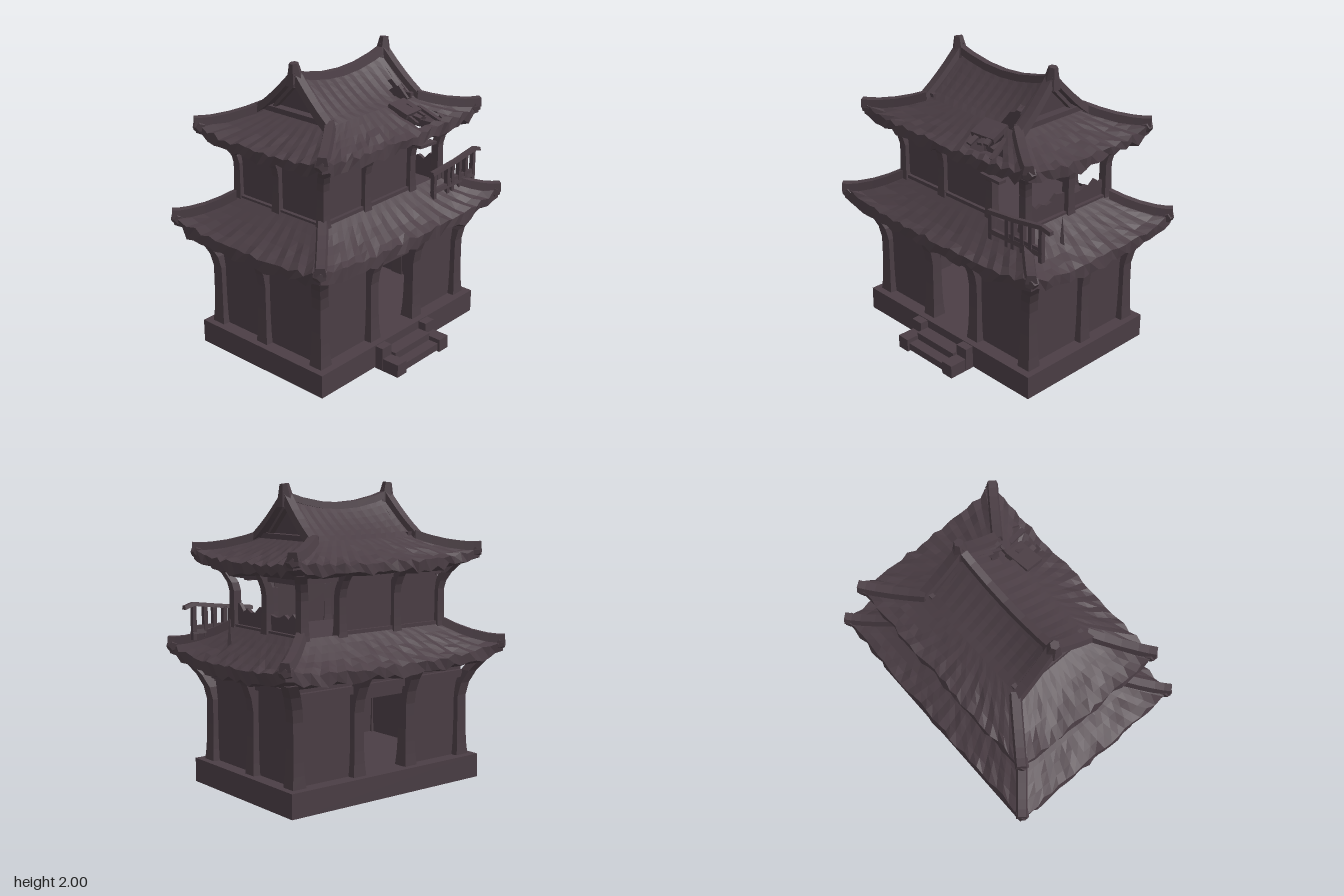
import * as THREE from 'three';

const timber = new THREE.MeshStandardMaterial({ color: 0x4b3e45, flatShading: true, side: THREE.DoubleSide });
timber.name = 'weathered timber';

let seed = 7;
const rnd = () => ((seed = (seed * 16807) % 2147483647) / 2147483647) * 2 - 1;
const lerp = THREE.MathUtils.lerp;

export function createModel() {
  const root = new THREE.Group();
  root.name = 'ruinedPavilion';
  const hall = new THREE.Group();
  hall.name = 'hall';
  hall.position.z = -0.03;
  root.add(hall);

  const add = (name, geo) => {
    const m = new THREE.Mesh(geo, timber);
    m.name = name;
    hall.add(m);
    return m;
  };
  // box given by its limits
  const box = (name, x0, x1, y0, y1, z0, z1) => {
    const m = add(name, new THREE.BoxGeometry(x1 - x0, y1 - y0, z1 - z0));
    m.position.set((x0 + x1) / 2, (y0 + y1) / 2, (z0 + z1) / 2);
    return m;
  };
  const faceted = (pos, idx) => {
    const g = new THREE.BufferGeometry();
    g.setAttribute('position', new THREE.Float32BufferAttribute(pos, 3));
    g.setIndex(idx);
    const flat = g.toNonIndexed();
    flat.computeVertexNormals();
    return flat;
  };
  // surface from f(i, j), leaving out cells where skip(i, j) is true
  const grid = (nu, nv, f, skip = () => false) => {
    const pos = [], idx = [];
    for (let j = 0; j <= nv; j++) for (let i = 0; i <= nu; i++) pos.push(...f(i, j));
    for (let j = 0; j < nv; j++) for (let i = 0; i < nu; i++) {
      if (skip(i, j)) continue;
      const a = j * (nu + 1) + i, b = a + nu + 1;
      idx.push(a, a + 1, b + 1, a, b + 1, b);
    }
    return faceted(pos, idx);
  };
  // square-section bar following points
  const sweep = (name, pts, w, h) => {
    const pos = [], idx = [], n = pts.length;
    pts.forEach(([x, y, z], k) => {
      const p = pts[Math.max(0, k - 1)], q = pts[Math.min(n - 1, k + 1)];
      const dx = q[0] - p[0], dz = q[2] - p[2], l = Math.hypot(dx, dz) || 1;
      const sx = l === 1 ? w / 2 : (-dz / l) * w / 2, sz = (dx / l) * w / 2;
      pos.push(x - sx, y, z - sz, x + sx, y, z + sz,
        x + sx * 0.7, y + h, z + sz * 0.7, x - sx * 0.7, y + h, z - sz * 0.7);
    });
    for (let k = 0; k < n - 1; k++) for (let c = 0; c < 4; c++) {
      const a = k * 4 + c, b = k * 4 + (c + 1) % 4;
      idx.push(a, b, b + 4, a, b + 4, a + 4);
    }
    const e = (n - 1) * 4;
    idx.push(0, 2, 1, 0, 3, 2, e, e + 1, e + 2, e, e + 2, e + 3);
    return add(name, faceted(pos, idx));
  };
  // pillar whose head flares outward under the eaves
  const pillar = (name, x, z, y0, y1, ox, oz, w = 0.065) => {
    const h = y1 - y0, g = new THREE.BoxGeometry(w, h, w, 1, 8, 1), p = g.attributes.position;
    for (let i = 0; i < p.count; i++) {
      const t = p.getY(i) / h + 0.5, k = Math.max(0, (t - 0.6) / 0.4) ** 2, s = 1 + 0.35 * (1 - t) ** 6;
      p.setX(i, p.getX(i) * s + ox * k);
      p.setZ(i, p.getZ(i) * s + oz * k);
    }
    g.computeVertexNormals();
    add(name, g).position.set(x, (y0 + y1) / 2, z);
  };
  // four-sided tiled skirt: soffit, ragged eave, sagging slope and hip ridges
  const skirtRoof = (name, o, broken) => {
    const surf = (u, v) => o.ye + (o.yi - o.ye) * v ** 1.2 + o.lift * Math.abs(u) ** 4 * (1 - v) ** 2;
    const nv = 7;
    for (let s = 0; s < 4; s++) {
      const alongX = s % 2 === 0, sign = s < 2 ? 1 : -1, n = alongX ? 28 : 20;
      const at = (i, j) => {
        const u = (i / n) * 2 - 1, v = Math.max(0, (j - 2) / (nv - 2));
        const rag = Math.abs(u) < 0.99 ? 1 : 0;
        let x = lerp(o.ox, o.ix, v), z = lerp(o.oz, o.iz, v), y = surf(u, v);
        y += rag * (1 - v) * ((i % 2 ? 0.007 : -0.007) + rnd() * 0.008);
        if (j === 1) y -= o.drop + rag * (rnd() * 0.018);
        if (j === 0) { x = o.wx; z = o.wz; y = o.ys; }
        const r = rag && j > 0 && v < 0.1 ? rnd() * 0.012 : 0;
        return alongX ? [u * x, y, sign * (z + r)] : [sign * (x + r), y, u * z];
      };
      const skip = (i, j) => {
        const x = ((i + 0.5) / n * 2 - 1) * o.ox;
        return broken && s === 0 && j > 2 && x > 0.24 && x < 0.56 - 0.03 * (j % 2);
      };
      add(name + 'Slope', grid(n, nv, at, skip));
    }
    for (const a of [-1, 1]) for (const b of [-1, 1]) {
      const pts = [1, 0.75, 0.5, 0.25, 0.1, -0.02].map(v =>
        [a * lerp(o.ox, o.ix, v), surf(1, Math.max(0, v)) - 0.012, b * lerp(o.oz, o.iz, v)]);
      sweep(name + 'HipRidge', pts, 0.075, 0.055);
      // upturned corner knob
      const k = add(name + 'CornerTip', new THREE.DodecahedronGeometry(0.05));
      k.position.set(a * (o.ox - 0.02), surf(1, 0) - 0.02, b * (o.oz - 0.02));
      k.scale.y = 0.9;
    }
  };

  // hollow plinth with floor and joists
  for (const s of [-1, 1]) {
    box('plinthLongSide', -0.78, 0.78, 0.01, 0.17, s * 0.515 - 0.03, s * 0.515 + 0.03);
    box('plinthShortSide', s * 0.75 - 0.03, s * 0.75 + 0.03, 0.01, 0.17, -0.485, 0.485);
    box('floorJoist', s * 0.25 - 0.03, s * 0.25 + 0.03, 0.02, 0.14, -0.485, 0.485);
    box('stepCheek', s * 0.225 - 0.045, s * 0.225 + 0.045, 0.01, 0.165, 0.54, 0.605);
    box('stepEnd', s * 0.22 - 0.045, s * 0.22 + 0.045, 0, 0.09, 0.54, 0.73);
  }
  box('floor', -0.75, 0.75, 0.14, 0.168, -0.5, 0.5);
  box('lowerStep', -0.18, 0.18, 0.01, 0.06, 0.54, 0.715);
  box('upperStep', -0.18, 0.18, 0.01, 0.11, 0.54, 0.64);

  // lower storey walls, with a doorway front and back
  for (const s of [-1, 1]) {
    const z = s * 0.43;
    for (const t of [-1, 1]) {
      box('lowerPanel', t < 0 ? -0.68 : 0.22, t < 0 ? -0.22 : 0.68, 0.165, 0.8, z - 0.015, z + 0.015);
      pillar('lowerCornerPillar', t * 0.685, s * 0.445, 0.165, 0.83, t * 0.11, s * 0.1, 0.075);
      pillar('doorPillar', t * 0.215, s * 0.45, 0.165, 0.83, 0, s * 0.1, 0.075);
    }
    box('doorLintel', -0.22, 0.22, 0.65, 0.8, z - 0.02, z + 0.02);
    box('lowerTopBeam', -0.69, 0.69, 0.7, 0.75, s * 0.45 - 0.025, s * 0.45 + 0.025);
    box('lowerSideWall', s * 0.67 - 0.015, s * 0.67 + 0.015, 0.165, 0.8, -0.43, 0.43);
    box('lowerSideBeam', s * 0.685 - 0.025, s * 0.685 + 0.025, 0.72, 0.77, -0.44, 0.44);
    pillar('lowerSidePillar', s * 0.69, -0.03, 0.165, 0.83, s * 0.09, 0, 0.07);
  }

  skirtRoof('lowerRoof', { ox: 0.9, oz: 0.65, ix: 0.59, iz: 0.38, ye: 0.885, yi: 1.065, lift: 0.065,
    drop: 0.07, ys: 0.77, wx: 0.68, wz: 0.44 });
  box('upperFloor', -0.59, 0.59, 1.02, 1.045, -0.38, 0.38);

  // upper storey, its left bays open to the weather
  for (const s of [-1, 1]) {
    for (const x of [-0.565, -0.18, 0.27, 0.565]) {
      if (x === 0.565 && s === 1) continue;
      const c = Math.abs(x) > 0.5;
      pillar('upperPillar', x, s * 0.365, 1.03, 1.46, c ? Math.sign(x) * 0.07 : 0, s * 0.08, 0.055);
    }
    box('upperPanel', -0.56, 0.27, 1.03, 1.44, s * 0.35 - 0.012, s * 0.35 + 0.012);
    box('upperSill', -0.58, 0.28, 1.05, 1.085, s * 0.365 - 0.02, s * 0.365 + 0.02);
    box('upperTopBeam', -0.58, 0.58, 1.4, 1.44, s * 0.36 - 0.025, s * 0.36 + 0.025);
    box('upperSideBeam', s * 0.565 - 0.025, s * 0.565 + 0.025, 1.39, 1.44, -0.37, 0.37);
    box('upperSideSill', s * 0.57 - 0.02, s * 0.57 + 0.02, 1.04, 1.08, -0.37, 0.37);
    pillar('upperSidePillar', s * 0.57, -0.01, 1.03, 1.46, s * 0.07, 0, 0.055);
  }
  pillar('upperFrontCornerPillar', 0.565, 0.365, 1.03, 1.46, 0.07, 0.08, 0.055);
  box('upperSideWall', -0.565, -0.541, 1.03, 1.44, -0.36, 0.36);
  // broken side wall with a splintered top
  const broken = new THREE.Shape();
  broken.moveTo(-0.36, 1.03);
  for (let i = 0; i <= 16; i++) broken.lineTo(-0.36 + i * 0.045, 1.195 + rnd() * 0.03);
  broken.lineTo(0.36, 1.03);
  const wallGeo = new THREE.ExtrudeGeometry(broken, { depth: 0.024, bevelEnabled: false });
  const stub = add('brokenSideWall', wallGeo);
  stub.rotation.y = -Math.PI / 2;
  stub.position.x = 0.565;

  const up = { ox: 0.765, oz: 0.545, ix: 0.42, iz: 0.29, ye: 1.515, yi: 1.645, lift: 0.055,
    drop: 0.065, ys: 1.42, wx: 0.56, wz: 0.36 };
  skirtRoof('upperRoof', up, true);

  // saddle roof with swaybacked ridge
  const ridgeY = x => 1.845 + 0.075 * (x / 0.42) ** 2;
  const saddleY = (x, t) => lerp(ridgeY(x), 1.645, t) - 0.06 * t * (1 - t);
  for (const s of [-1, 1]) {
    add('saddleRoof', grid(20, 6, (i, j) => {
      const x = (i / 20 * 2 - 1) * 0.42, t = j / 6;
      return [x, saddleY(x, t) + t * (1 - t) * (i % 2 ? 0.012 : -0.012), s * 0.29 * t];
    }, (i, j) => s > 0 && i >= 16 && i < 19 && j >= 4 - (i % 2)));
  }
  sweep('mainRidge', [-0.45, -0.4, -0.3, -0.15, 0, 0.15, 0.3, 0.4, 0.45].map(x => [x, ridgeY(x) - 0.02, 0]), 0.065, 0.045);

  // gable ends: bargeboards, recessed triangle, tie beam and finial
  const tri = new THREE.Shape([[-0.27, 1.64], [0.27, 1.64], [0, 1.89]].map(p => new THREE.Vector2(...p)));
  for (const a of [-1, 1]) {
    for (const s of [-1, 1]) {
      sweep('bargeboard', [0, 0.2, 0.4, 0.6, 0.8, 1.05].map(t =>
        [a * (0.415 + 0.02 * t), saddleY(0.42, t) - 0.02, s * 0.29 * t]), 0.08, 0.06);
      sweep('gableRafter', [[a * 0.4, 1.65, s * 0.2], [a * 0.4, 1.84, s * 0.01]], 0.04, 0.035);
    }
    const g = add('gableWall', new THREE.ExtrudeGeometry(tri, { depth: 0.02, bevelEnabled: false }));
    g.rotation.y = -Math.PI / 2;
    g.position.x = a * 0.36 + 0.01;
    box('gableTie', a * 0.4 - 0.03, a * 0.4 + 0.03, 1.635, 1.675, -0.28, 0.28);
    const f = add('ridgeFinial', new THREE.CylinderGeometry(0.03, 0.062, 0.14, 6));
    f.position.set(a * 0.42, 1.925, 0);
    f.rotation.z = -a * 0.12;
  }

  // splintered boards around the roof hole
  for (let i = 0; i < 7; i++) {
    const b = add('brokenBoard', new THREE.BoxGeometry(0.035, 0.018, 0.17 + rnd() * 0.05));
    b.position.set(0.19 + i * 0.05, 1.59 + rnd() * 0.03 - i * 0.008, 0.4 + rnd() * 0.05);
    b.rotation.set(0.45 + rnd() * 0.25, rnd() * 0.35, rnd() * 0.3);
  }
  const flap = box('liftedTiles', 0.14, 0.32, 1.6, 1.635, 0.27, 0.42);
  flap.rotation.set(0.35, 0.1, -0.08);
  const plank = box('hangingPlank', 0.26, 0.43, 1.355, 1.375, 0.4, 0.46);
  plank.rotation.z = -0.05;

  // leaning balcony rail on the lower roof
  const railTop = x => 1.165 + (x - 0.37) * 0.09;
  sweep('handrail', [[0.36, 1.15, 0.48], [0.6, 1.175, 0.485], [0.82, 1.205, 0.48], [0.89, 1.185, 0.475]], 0.04, 0.025);
  sweep('bottomRail', [[0.37, 1.02, 0.48], [0.83, 1.02, 0.48]], 0.035, 0.03);
  box('railPanel', 0.52, 0.82, 1.04, 1.075, 0.47, 0.49);
  for (const x of [0.385, 0.53, 0.58, 0.66, 0.73, 0.815])
    box('railPost', x - 0.014, x + 0.014, 0.98, railTop(x), 0.465, 0.495);

  // fallen splinter on the side roof
  const sp = add('splinter', new THREE.ConeGeometry(0.025, 0.24, 4));
  sp.position.set(0.72, 1.04, 0.2);
  return root;
}
